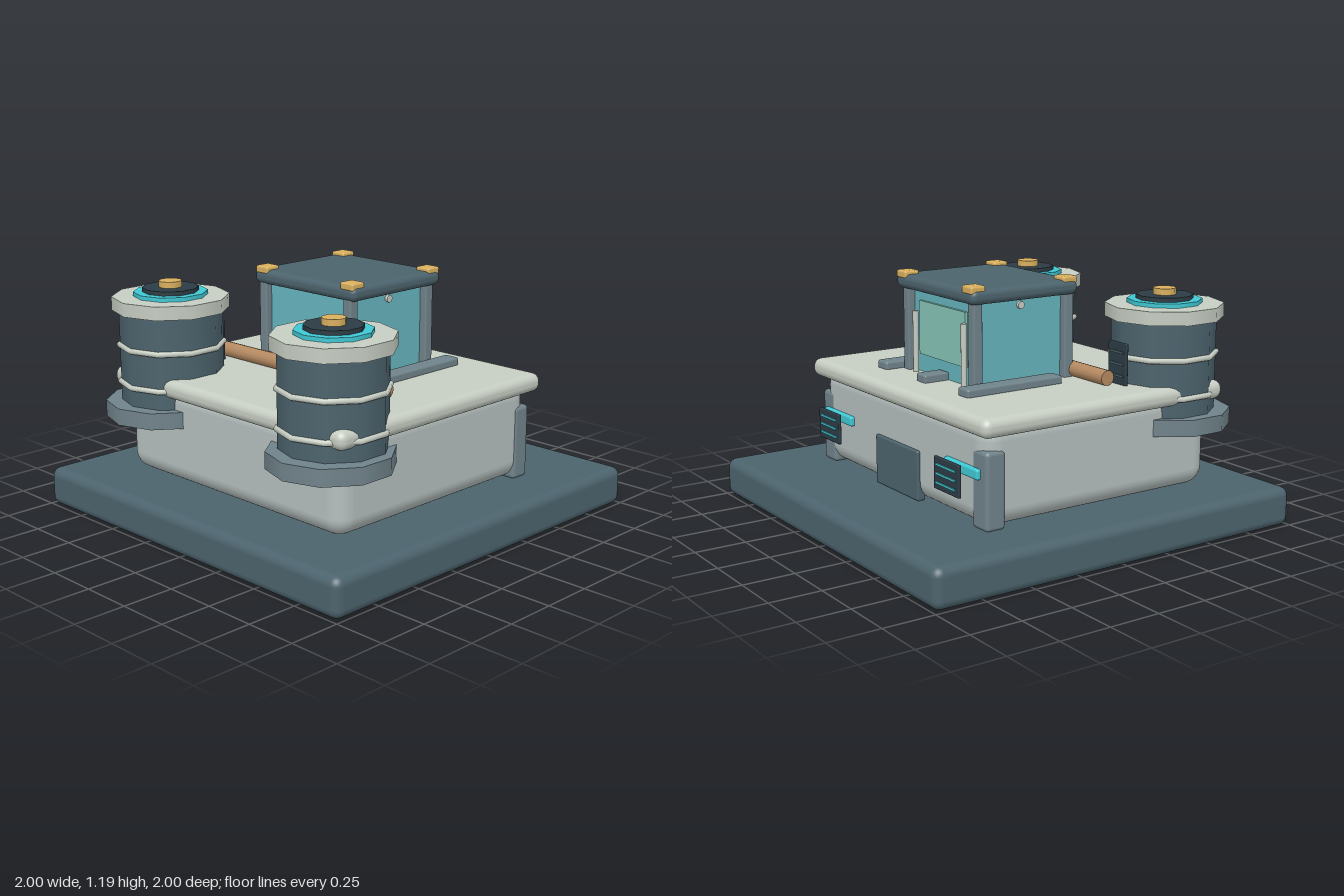
import * as THREE from 'three';
import { RoundedBoxGeometry } from 'three/addons/geometries/RoundedBoxGeometry.js';

const mat = (color) => new THREE.MeshStandardMaterial({ color });
const M = {
  slate: mat(0x4c636d), steel: mat(0x70838a), pale: mat(0xc6cdc2), wall: mat(0xb4bfbd),
  glass: mat(0x66b4be), mint: mat(0x86c4b6), cyan: mat(0x3fc8d4), dark: mat(0x2c3c44),
  gold: mat(0xd9b05f), copper: mat(0xb58a62),
};

export function createModel() {
  const root = new THREE.Group();

  const add = (name, geometry, material, x, y, z, parent = root) => {
    const mesh = new THREE.Mesh(geometry, material);
    mesh.name = name;
    mesh.position.set(x, y, z);
    parent.add(mesh);
    return mesh;
  };
  // Box given by its limits on each axis, with rounded edges when r > 0
  const box = (name, material, [x0, x1], [y0, y1], [z0, z1], r = 0, parent = root) => {
    const size = [x1 - x0, y1 - y0, z1 - z0];
    const geometry = r ? new RoundedBoxGeometry(...size, 4, r) : new THREE.BoxGeometry(...size);
    return add(name, geometry, material, (x0 + x1) / 2, (y0 + y1) / 2, (z0 + z1) / 2, parent);
  };
  const disc = (name, material, r, y0, y1, parent, sides = 10) =>
    add(name, new THREE.CylinderGeometry(r, r, y1 - y0, sides), material, 0, (y0 + y1) / 2, 0, parent);

  // Foundation, main building and overhanging deck
  box('foundation', M.slate, [-1, 1], [0, 0.19], [-1, 1], 0.045);
  box('building', M.wall, [-0.73, 0.73], [0.19, 0.67], [-0.57, 0.71], 0.09);
  box('deck', M.pale, [-0.78, 0.78], [0.612, 0.702], [-0.61, 0.75], 0.04);
  box('backDoor', M.slate, [-0.19, 0.19], [0.19, 0.43], [-0.585, -0.54], 0.01);

  // Glazed cabin with its roof
  box('cabinGlass', M.glass, [-0.27, 0.27], [0.69, 1.12], [-0.312, 0.18]);
  box('cabinRoof', M.slate, [-0.335, 0.335], [1.1, 1.17], [-0.375, 0.225], 0.03);
  box('backWindow', M.mint, [-0.2, 0.2], [0.79, 1.05], [-0.325, -0.3]);
  box('backStep', M.steel, [-0.04, 0.04], [0.695, 0.74], [-0.445, -0.31], 0.01);
  add('cabinRod', new THREE.CylinderGeometry(0.018, 0.018, 0.57, 10).rotateZ(Math.PI / 2),
    M.pale, 0, 1.07, -0.07);

  // Vent plate lying in the xy plane, with slats on its back
  const vent = (name, x, y, z, w, h, slatMaterial) => {
    const group = new THREE.Group();
    group.name = name;
    group.position.set(x, y, z);
    root.add(group);
    box('ventPlate', M.dark, [-w / 2, w / 2], [-h / 2, h / 2], [-0.008, 0.008], 0.005, group);
    for (let i = -1; i <= 1; i++)
      add('ventSlat', new THREE.BoxGeometry(w * 0.78, 0.01, 0.008), slatMaterial,
        0, i * h * 0.28, -0.01, group);
  };

  // Ten-sided tower built up from its foot
  const tower = (s) => {
    const group = new THREE.Group();
    group.name = 'tower';
    group.position.set(s * 0.55, 0, 0.566);
    root.add(group);
    disc('towerFoot', M.steel, 0.29, 0.475, 0.555, group).position.set(s * 0.015, 0.515, 0.032);
    disc('towerBody', M.slate, 0.248, 0.55, 1.0, group);
    disc('towerCap', M.pale, 0.281, 0.995, 1.06, group);
    disc('lightRing', M.cyan, 0.178, 1.06, 1.08, group);
    disc('hatch', M.dark, 0.135, 1.08, 1.1, group);
    disc('hatchKnob', M.gold, 0.055, 1.1, 1.13, group);
    for (const y of [0.645, 0.825]) {
      const ring = new THREE.TorusGeometry(0.25, 0.014, 8, 10).rotateZ(Math.PI / 2).rotateX(Math.PI / 2);
      add('towerBand', ring, M.pale, 0, y, 0, group);
    }
  };

  // Everything mirrored left and right
  for (const s of [-1, 1]) {
    const side = (a, b) => (s > 0 ? [a, b] : [-b, -a]);
    tower(s);
    vent('towerVent', s * 0.55, 0.8, 0.293, 0.13, 0.2, M.slate);
    vent('backVent', s * 0.535, 0.405, -0.642, 0.2, 0.15, M.cyan);
    box('lightBar', M.cyan, side(0.42, 0.69), [0.415, 0.463], [-0.592, -0.555], 0.01);
    box('cornerPillar', M.steel, side(0.62, 0.737), [0.185, 0.545], [-0.572, -0.47], 0.02);
    box('sideRail', M.steel, side(0.315, 0.4), [0.695, 0.74], [-0.445, 0.085], 0.012);
    add('frontPipe', new THREE.CylinderGeometry(0.037, 0.037, 0.415, 12).rotateZ(Math.PI / 2),
      M.copper, s * 0.3475, 0.737, 0.228);
    add('windowHandle', new THREE.CylinderGeometry(0.014, 0.014, 0.3, 10), M.pale, s * 0.21, 0.85, -0.34);
    for (const z of [-0.325, 0.19]) {
      box('cabinPost', M.steel, side(0.258, 0.308), [0.69, 1.11], [z - 0.025, z + 0.025], 0.008);
    }
    for (const z of [-0.335, 0.182]) {
      box('roofCorner', M.gold, side(0.243, 0.325), [1.15, 1.187], [z - 0.04, z + 0.04], 0.01);
    }
  }
  return root;
}
